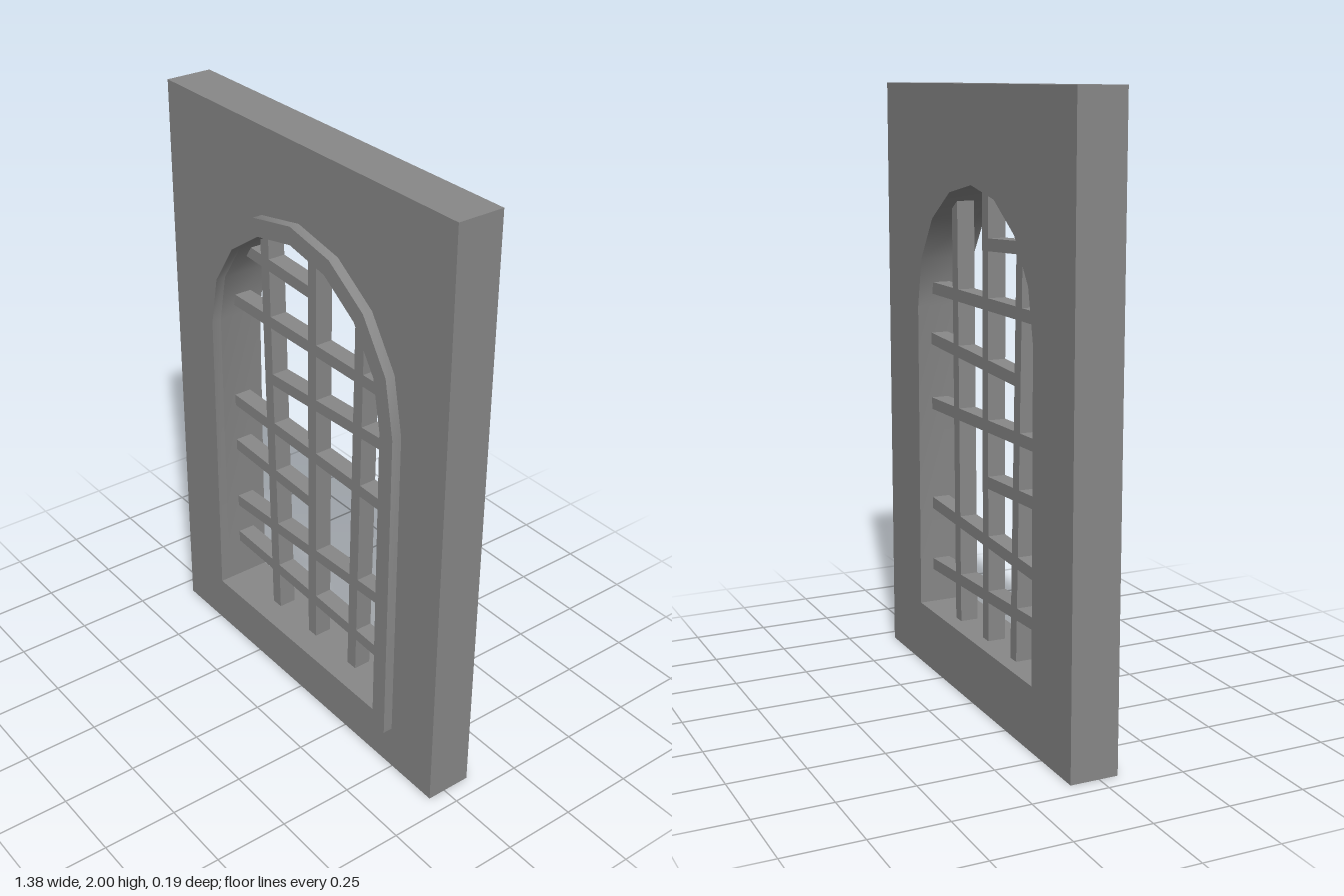
import * as THREE from 'three';
import { toCreasedNormals } from 'three/addons/utils/BufferGeometryUtils.js';

const material = new THREE.MeshStandardMaterial({ color: 0x888888 });
const BACK = -0.095, WALL_FRONT = 0.062, FRONT = 0.095;
const BAR_Z = (BACK + WALL_FRONT) / 2;

// Closed outline of a round-headed opening: straight jambs and a faceted arch
function archPoints(radius, bottom) {
  const points = [new THREE.Vector2(-radius, bottom), new THREE.Vector2(radius, bottom)];
  for (let i = 0; i <= 8; i++) {
    const a = (i / 8) * Math.PI;
    points.push(new THREE.Vector2(radius * Math.cos(a), 1.26 + radius * Math.sin(a)));
  }
  return points;
}

// Extrudes an outline with the window opening cut out, between two depths
function piercedSlab(name, outline, z0, z1) {
  const shape = new THREE.Shape(outline);
  shape.holes.push(new THREE.Path(archPoints(0.433, 0.213)));
  const geometry = new THREE.ExtrudeGeometry(shape, { depth: z1 - z0, bevelEnabled: false });
  geometry.translate(0, 0, z0);
  const mesh = new THREE.Mesh(toCreasedNormals(geometry, Math.PI / 6), material);
  mesh.name = name;
  return mesh;
}

// Straight square-cut bar between two points of the window plane
function bar(name, [x0, y0, x1, y1], width) {
  const length = Math.hypot(x1 - x0, y1 - y0);
  const mesh = new THREE.Mesh(new THREE.BoxGeometry(length, width, 0.06), material);
  mesh.position.set((x0 + x1) / 2, (y0 + y1) / 2, BAR_Z);
  mesh.rotation.z = Math.atan2(y1 - y0, x1 - x0);
  mesh.name = name;
  return mesh;
}

export function createModel() {
  const model = new THREE.Group();
  model.name = 'barredWindow';

  // Wall panel and the raised surround on its front
  const wall = [[-0.69, 0], [0.69, 0], [0.69, 2], [-0.69, 2]].map(p => new THREE.Vector2(...p));
  model.add(piercedSlab('wall', wall, BACK, WALL_FRONT));
  model.add(piercedSlab('windowSurround', archPoints(0.492, 0.154), WALL_FRONT, FRONT));

  // Crooked lattice, ends let into the wall
  const lattice = new THREE.Group();
  lattice.name = 'lattice';
  const uprights = [
    [-0.206, 0.2, -0.248, 1.64],
    [0, 0.2, 0, 1.71],
    [0.217, 0.2, 0.235, 1.65],
  ];
  const crossbars = [
    [-0.36, 1.527, 0, 1.508],
    [-0.44, 1.322, 0.44, 1.322],
    [-0.217, 1.116, 0.44, 1.148],
    [-0.44, 0.939, 0.44, 0.923],
    [-0.44, 0.762, 0, 0.746],
    [-0.44, 0.529, 0.44, 0.571],
    [-0.44, 0.378, 0.44, 0.349],
  ];
  uprights.forEach((ends, i) => lattice.add(bar(`upright${i + 1}`, ends, 0.042)));
  crossbars.forEach((ends, i) => lattice.add(bar(`crossbar${i + 1}`, ends, 0.04)));
  model.add(lattice);
  return model;
}
